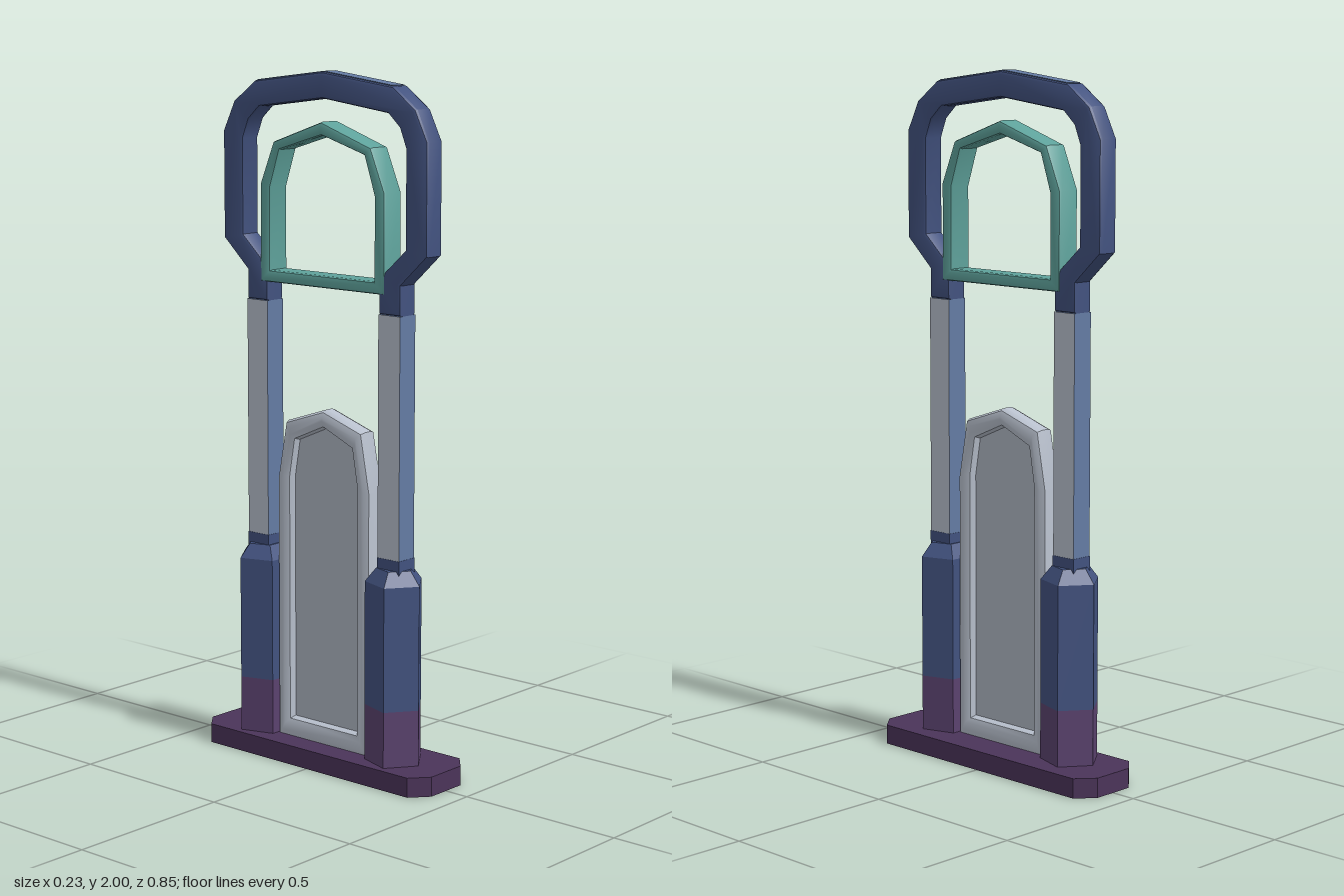
import * as THREE from 'three';
import { toCreasedNormals } from 'three/addons/utils/BufferGeometryUtils.js';

const material = (name, color) => {
  const m = new THREE.MeshStandardMaterial({ color });
  m.name = name;
  return m;
};

export function createModel() {
  const blue = material('navy blue', 0x42527f);
  const slate = material('slate blue', 0x647ba3);
  const pale = material('pale grey', 0xb9c1ce);
  const panelGrey = material('panel grey', 0xb0b7c4);
  const purple = material('purple', 0x5a426e);
  const darkPurple = material('dark purple', 0x4b3459);
  const teal = material('teal', 0x5fa39c);

  const group = new THREE.Group();
  const cx = -0.014; // the upright parts sit slightly off the base centre line
  const postZ = 0.248;

  const add = (name, geometry, mat, x = 0, y = 0, z = 0) => {
    const mesh = new THREE.Mesh(geometry, mat);
    mesh.name = name;
    mesh.position.set(x, y, z);
    group.add(mesh);
    return mesh;
  };

  // Half outlines are [z, y] pairs; mirror them across z = 0
  const mirror = (half) => [
    ...half,
    ...half.filter(([z]) => z > 0).reverse().map(([z, y]) => [-z, y]),
  ];
  const path = (points) => points.map(([z, y]) => new THREE.Vector2(z, y));

  // Upright slab of a z-y outline, centred on x = 0
  const slab = (outline, hole, width, bevel = 0) => {
    const shape = new THREE.Shape(path(outline));
    if (hole) shape.holes.push(new THREE.Path(path(hole)));
    const depth = width - 2 * bevel;
    const geometry = new THREE.ExtrudeGeometry(shape, {
      depth,
      bevelEnabled: bevel > 0,
      bevelSize: bevel,
      bevelThickness: bevel,
      bevelOffset: -bevel,
      bevelSegments: 2,
    });
    geometry.translate(0, 0, -depth / 2);
    geometry.rotateY(-Math.PI / 2);
    return toCreasedNormals(geometry, 0.6);
  };

  // Base plate with cut corners
  const plate = new THREE.Shape(path([
    [0.117, -0.38], [0.117, 0.38], [0.065, 0.425], [-0.065, 0.425],
    [-0.117, 0.38], [-0.117, -0.38], [-0.065, -0.425], [0.065, -0.425],
  ]));
  const plateGeometry = new THREE.ExtrudeGeometry(plate, { depth: 0.057, bevelEnabled: false });
  plateGeometry.rotateX(-Math.PI / 2);
  add('basePlate', plateGeometry, darkPurple);

  // Five-sided sleeves and square posts on both ends
  for (const side of [1, -1]) {
    const prism = (name, top, bottom, y0, y1, mat) => {
      const g = new THREE.CylinderGeometry(top, bottom, y1 - y0, 5).toNonIndexed();
      g.computeVertexNormals();
      if (side < 0) g.rotateY(Math.PI);
      add(name, g, mat, cx, (y0 + y1) / 2, side * postZ);
    };
    prism('sleeveFoot', 0.087, 0.087, 0.05, 0.22, purple);
    prism('sleeve', 0.087, 0.087, 0.22, 0.58, blue);
    prism('sleeveShoulder', 0.055, 0.087, 0.58, 0.62, blue);
    add('collar', new THREE.BoxGeometry(0.068, 0.05, 0.08), blue, cx, 0.625, side * postZ);
    add('post', new THREE.BoxGeometry(0.066, 0.69, 0.078),
      [pale, pale, slate, slate, slate, slate], cx, 0.995, side * postZ);
  }

  // Arched top handle: outer edge, then inner edge
  const outer = mirror([
    [0.288, 1.34], [0.288, 1.425], [0.38, 1.51], [0.38, 1.82],
    [0.337, 1.907], [0.257, 1.966], [0, 1.998],
  ]);
  const inner = mirror([
    [0.208, 1.34], [0.208, 1.44], [0.302, 1.525], [0.302, 1.80],
    [0.28, 1.855], [0.238, 1.893], [0, 1.924],
  ]);
  add('handle', slab([...outer, ...inner.reverse()], null, 0.068, 0.01), blue, cx);

  // Worn strip along the crown of the handle
  add('crownStrip', slab(mirror([[0.25, 1.962], [0.25, 1.969], [0, 2.0], [0, 1.993]]
    .slice(0, 3)).concat([[0, 1.993]]), null, 0.05), slate, cx);

  // Teal window frame under the handle
  add('windowFrame', slab(
    mirror([[0.233, 1.395], [0.233, 1.675], [0.182, 1.797], [0, 1.86]]),
    mirror([[0.194, 1.43], [0.194, 1.665], [0.157, 1.775], [0, 1.822]]),
    0.076, 0.01), teal, cx);

  // Lower arched panel with a rounded rim
  add('panelRim', slab(
    mirror([[0.178, 0.05], [0.178, 0.827], [0.146, 0.997], [0, 1.045]]),
    mirror([[0.123, 0.115], [0.123, 0.835], [0.104, 0.945], [0, 0.99]]),
    0.068, 0.022), pale, cx);
  add('panel', slab(
    mirror([[0.14, 0.1], [0.14, 0.83], [0.115, 0.955], [0, 1.0]]),
    null, 0.02), panelGrey, cx);

  return group;
}
